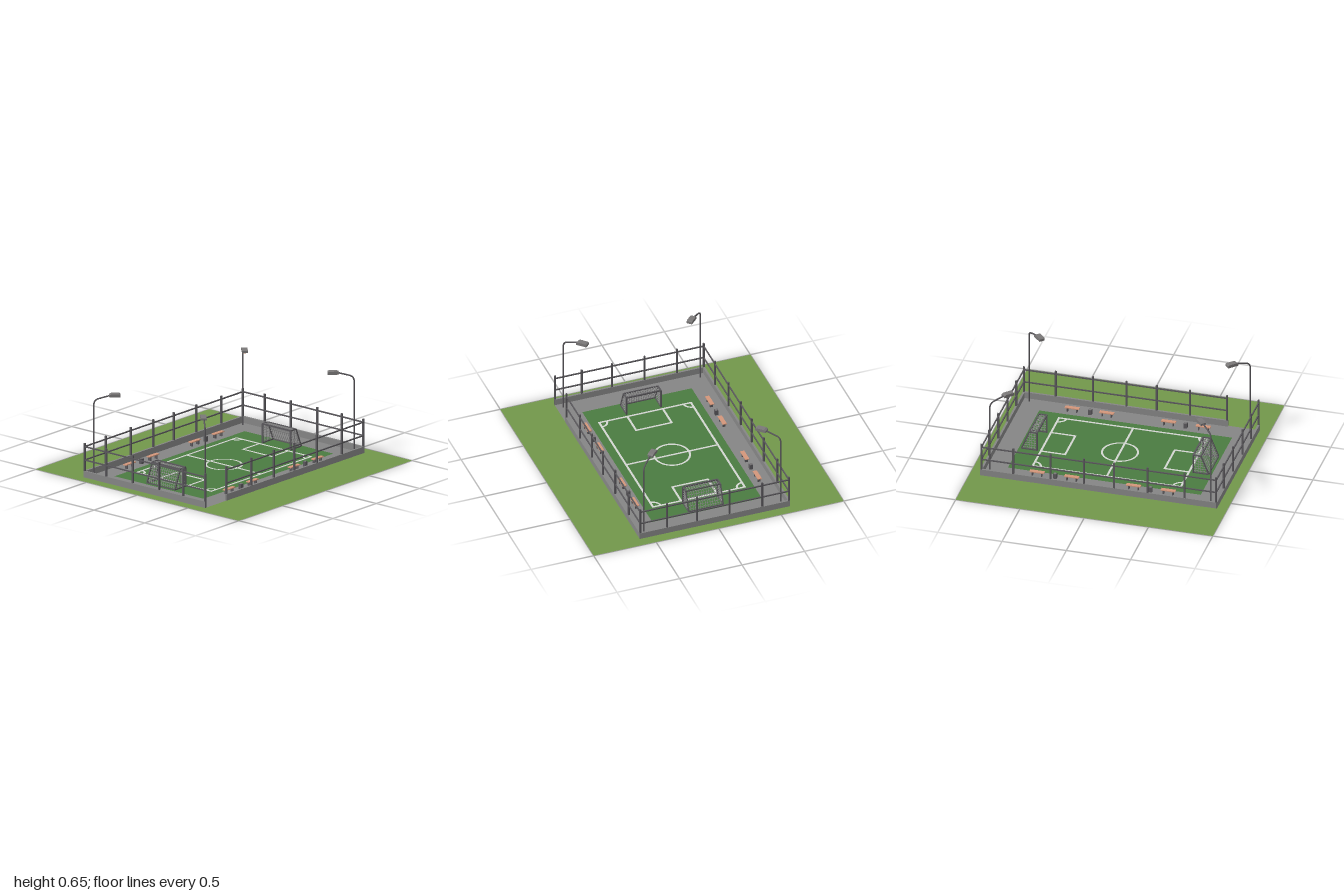
import * as THREE from 'three';
import { mergeGeometries } from 'three/addons/utils/BufferGeometryUtils.js';

const paint = (name, color, side = THREE.FrontSide) => {
  const m = new THREE.MeshStandardMaterial({ color, side });
  m.name = name;
  return m;
};
const V = (x, y, z) => new THREE.Vector3(x, y, z);

// Box given by its centre and size
function block(x, y, z, w, h, d) {
  return new THREE.BoxGeometry(w, h, d).translate(x, y, z);
}

// Square bar running between two points
function bar(a, b, t) {
  const dir = b.clone().sub(a);
  const g = new THREE.BoxGeometry(t, dir.length(), t);
  g.applyQuaternion(new THREE.Quaternion().setFromUnitVectors(V(0, 1, 0), dir.normalize()));
  return g.translate((a.x + b.x) / 2, (a.y + b.y) / 2, (a.z + b.z) / 2);
}

// Flat horizontal rectangle, optionally with a rectangular hole
function sheet(w, d, holeW, holeD, y) {
  const rect = (C, a, b) => new C([[-a, -b], [a, -b], [a, b], [-a, b]].map(p => new THREE.Vector2(...p)));
  const s = rect(THREE.Shape, w / 2, d / 2);
  if (holeW) s.holes.push(rect(THREE.Path, holeW / 2, holeD / 2));
  return new THREE.ShapeGeometry(s).rotateX(-Math.PI / 2).translate(0, y, 0);
}

export function createModel() {
  const root = new THREE.Group();
  root.name = 'sportsPitch';
  const grass = paint('grass', 0x71974a, THREE.DoubleSide);
  const turf = paint('turf', 0x4a7b41, THREE.DoubleSide);
  const concrete = paint('concrete', 0x858585, THREE.DoubleSide);
  const white = paint('lineWhite', 0xd2d5d0);
  const metal = paint('darkMetal', 0x5a585c);
  const netGrey = paint('netGrey', 0x8f8f8f);
  const wood = paint('wood', 0xd2967a);
  const lampGrey = paint('lampGrey', 0x7a7878);

  const add = (name, geos, mat, parent = root) => {
    const mesh = new THREE.Mesh(Array.isArray(geos) ? mergeGeometries(geos) : geos, mat);
    mesh.name = name;
    parent.add(mesh);
    return mesh;
  };

  // Ground layers
  add('lawn', sheet(2, 2, 1.836, 1.2, 0), grass);
  add('pavement', sheet(1.836, 1.2, 1.5, 0.875, 0), concrete);
  add('pitch', sheet(1.5, 0.875, 0, 0, 0), turf);

  // Pitch markings
  const lw = 0.016, ly = 0.003, lh = 0.002, px = 0.576, pz = 0.367;
  const lines = [block(0, ly, 0, lw, lh, pz * 2)];
  const arc = (x, z, r, start, len, n) => lines.push(
    new THREE.RingGeometry(r - lw / 2, r + lw / 2, n, 1, start, len)
      .rotateX(-Math.PI / 2).translate(x, ly + 0.001, z));
  arc(0, 0, 0.135, 0, Math.PI * 2, 40);
  for (const s of [-1, 1]) {
    lines.push(block(0, ly, s * pz, px * 2 + lw, lh, lw));
    lines.push(block(s * px, ly, 0, lw, lh, pz * 2));
    lines.push(block(s * 0.387, ly, 0, lw, lh, 0.3));
    for (const t of [-1, 1]) {
      lines.push(block(s * 0.48, ly, t * 0.142, 0.19, lh, lw));
      const start = s > 0 ? (t > 0 ? Math.PI / 2 : Math.PI) : (t > 0 ? 0 : Math.PI * 1.5);
      arc(s * px, t * pz, 0.06, start, Math.PI / 2, 8);
    }
  }
  add('pitchMarkings', lines, white);

  // Low wall, open at the front corner on the -x side
  const gateX = -0.675, fx = 0.913, fz = 0.594, wt = 0.016;
  add('lowWall', [
    block(0, 0.025, -fz, 1.836, 0.05, wt),
    block((gateX + 0.918) / 2, 0.025, fz, 0.918 - gateX, 0.05, wt),
    block(-fx, 0.025, 0, wt, 0.05, 1.2),
    block(fx, 0.025, 0, wt, 0.05, 1.2),
  ], concrete);

  // Fence posts and two rails
  const posts = [], rails = [];
  const post = (x, z) => posts.push(block(x, 0.133, z, 0.013, 0.266, 0.013));
  for (const x of [-fx, -0.668, -0.38, -0.12, 0.115, 0.375, 0.665, fx]) {
    post(x, -fz);
    post(x, fz);
  }
  for (const z of [-0.38, -0.12, 0.14, 0.38]) {
    post(-fx, z);
    post(fx, z);
  }
  for (const y of [0.135, 0.24]) {
    rails.push(bar(V(-fx, y, -fz), V(fx, y, -fz), 0.009));
    rails.push(bar(V(-0.668, y, fz), V(fx, y, fz), 0.009));
    for (const s of [-1, 1]) rails.push(bar(V(s * fx, y, -fz), V(s * fx, y, fz), 0.009));
  }
  add('fencePosts', posts, metal);
  add('fenceRails', rails, metal);

  // Goals: d is the distance behind the goal mouth
  const gh = 0.152, gz = 0.138, dTop = 0.06, dBase = 0.12;
  const depthAt = y => dBase + (dTop - dBase) * (y / gh);
  const heightAt = d => d <= dTop ? gh : gh * (dBase - d) / (dBase - dTop);
  for (const s of [-1, 1]) {
    const goal = new THREE.Group();
    goal.name = s > 0 ? 'leftGoal' : 'rightGoal';
    root.add(goal);
    const P = (d, y, z) => V(s * (0.608 + d), y, z);
    const frame = [], net = [], nt = 0.003;
    for (const z of [-gz, gz]) {
      frame.push(bar(P(0, 0, z), P(0, gh, z), 0.011), bar(P(0, gh, z), P(dTop, gh, z), 0.009),
        bar(P(dTop, gh, z), P(dBase, 0.005, z), 0.009), bar(P(0, 0.005, z), P(dBase, 0.005, z), 0.009));
      for (let d = 0.02; d < dBase - 0.01; d += 0.02) net.push(bar(P(d, 0, z), P(d, heightAt(d), z), nt));
      for (let y = 0.02; y < gh; y += 0.02) net.push(bar(P(0, y, z), P(depthAt(y), y, z), nt));
    }
    frame.push(bar(P(0, gh, -gz), P(0, gh, gz), 0.011), bar(P(dTop, gh, -gz), P(dTop, gh, gz), 0.008),
      bar(P(dBase, 0.005, -gz), P(dBase, 0.005, gz), 0.008));
    for (let i = 1; i < 14; i++) {
      const z = -gz + i * gz / 7;
      net.push(bar(P(0, gh, z), P(dTop, gh, z), nt), bar(P(dTop, gh, z), P(dBase, 0, z), nt));
    }
    for (let d = 0.02; d < dTop; d += 0.02) net.push(bar(P(d, gh, -gz), P(d, gh, gz), nt));
    for (let y = 0.02; y < gh; y += 0.02) net.push(bar(P(depthAt(y), y, -gz), P(depthAt(y), y, gz), nt));
    add('goalFrame', frame, metal, goal);
    add('goalNet', net, netGrey, goal);
  }

  // Benches and litter bins along both long sides
  const seats = [], legs = [], bins = [], binTops = [];
  for (const z of [-0.493, 0.487]) {
    for (const x of [-0.513, -0.243, 0.238, 0.507]) {
      seats.push(block(x, 0.034, z, 0.112, 0.007, 0.032));
      for (const s of [-1, 1]) legs.push(block(x + s * 0.036, 0.0153, z, 0.008, 0.0305, 0.024));
    }
    for (const x of [-0.375, 0.367]) {
      bins.push(block(x, 0.02, z, 0.026, 0.04, 0.026));
      binTops.push(block(x, 0.0405, z, 0.018, 0.003, 0.018));
    }
  }
  add('benchSeats', seats, wood);
  add('benchLegs', legs, metal);
  add('litterBins', bins, metal);
  add('litterBinTops', binTops, lampGrey);

  // Corner floodlights, each leaning in along the diagonal
  const path = new THREE.CurvePath();
  path.add(new THREE.LineCurve3(V(0, 0, 0), V(0, 0.565, 0)));
  path.add(new THREE.QuadraticBezierCurve3(V(0, 0.565, 0), V(0, 0.603, 0), V(0.035, 0.612, 0)));
  path.add(new THREE.LineCurve3(V(0.035, 0.612, 0), V(0.13, 0.637, 0)));
  const poleGeo = new THREE.TubeGeometry(path, 48, 0.006, 8);
  const headShape = new THREE.Shape([[0.115, -0.012], [0.2, -0.012], [0.2, 0.006], [0.19, 0.012], [0.13, 0.012], [0.115, 0.004]]
    .map(p => new THREE.Vector2(...p)));
  const headGeo = new THREE.ExtrudeGeometry(headShape, { depth: 0.044, bevelEnabled: false }).translate(0, 0.637, -0.022);
  for (const sx of [-1, 1]) for (const sz of [-1, 1]) {
    const lamp = new THREE.Group();
    lamp.name = 'floodlight';
    lamp.position.set(sx * 0.86, 0, sz * 0.548);
    lamp.rotation.y = Math.atan2(sz, -sx);
    add('lampPole', poleGeo, metal, lamp);
    add('lampHead', headGeo, lampGrey, lamp);
    add('lampLens', block(0.16, 0.6245, 0, 0.07, 0.003, 0.036), wood, lamp);
    root.add(lamp);
  }
  return root;
}
